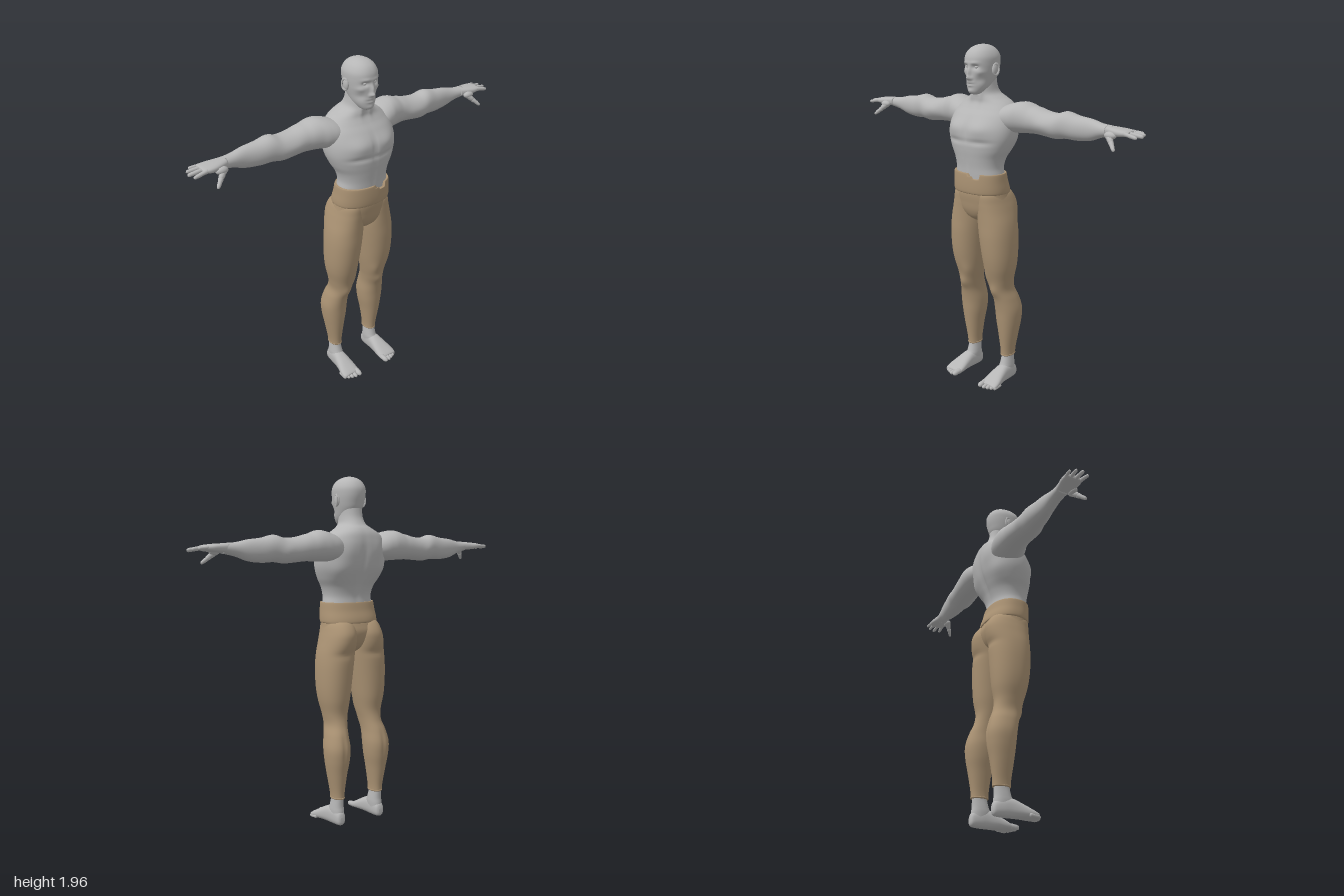
import * as THREE from 'three';
import { mergeGeometries } from 'three/addons/utils/BufferGeometryUtils.js';

const skin = new THREE.MeshStandardMaterial({ color: 0xb6b6b6 });
skin.name = 'grey skin';
const cloth = new THREE.MeshStandardMaterial({ color: 0xaa9273 });
cloth.name = 'tan cloth';

// How section values (t along the part, a and b across it) map to space
const alongY = (t, a, b) => [a, t, b];
const alongX = (t, a, b) => [t, b, a];
const alongZ = (t, a, b) => [b, a, t];

// Smooth skin through cross-sections [t, aMin, aMax, bMin, bMax]; n sets squareness
function loft(sections, map, { n = 2.2, segs = 40, subs = 6, shape = null } = {}) {
  const pos = [], index = [], last = sections.length - 1;
  const at = i => sections[Math.min(last, Math.max(0, i))];
  const rows = last * subs + 1;
  const put = (t, a, b) => {
    const p = map(t, a, b);
    if (shape) shape(p);
    pos.push(...p);
  };
  const curve = s => Math.sign(s) * Math.abs(s) ** (2 / n);
  const ends = [];
  for (let r = 0; r < rows; r++) {
    const i = Math.min(last - 1, Math.floor(r / subs)), u = r / subs - i;
    const [t, a0, a1, b0, b1] = at(i).map((p1, k) => {
      const p0 = at(i - 1)[k], p2 = at(i + 1)[k], p3 = at(i + 2)[k];
      return p1 + 0.5 * u * (p2 - p0 + u * (2 * p0 - 5 * p1 + 4 * p2 - p3 + u * (3 * (p1 - p2) + p3 - p0)));
    });
    for (let j = 0; j < segs; j++) {
      const w = j / segs * Math.PI * 2;
      put(t, (a0 + a1) / 2 + (a1 - a0) / 2 * curve(Math.cos(w)), (b0 + b1) / 2 + (b1 - b0) / 2 * curve(Math.sin(w)));
    }
    if (r === 0 || r === rows - 1) ends.push([t, (a0 + a1) / 2, (b0 + b1) / 2]);
  }
  ends.forEach(e => put(...e));
  const c0 = rows * segs, top = (rows - 1) * segs;
  for (let j = 0; j < segs; j++) {
    const k = (j + 1) % segs;
    for (let r = 0; r < rows - 1; r++) {
      const p = r * segs + j, q = r * segs + k;
      index.push(p, p + segs, q, q, p + segs, q + segs);
    }
    index.push(c0, j, k, c0 + 1, top + k, top + j);
  }
  const g = new THREE.BufferGeometry();
  g.setAttribute('position', new THREE.Float32BufferAttribute(pos, 3));
  g.setIndex(index);
  g.computeVertexNormals();
  return g;
}

// Soft pushes [x, y, z, rx, ry, rz, dx, dy, dz], repeated on the other side when x > 0
const sculpt = pushes => p => {
  const [x, y, z] = p;
  for (const [cx, cy, cz, rx, ry, rz, dx, dy, dz] of pushes) {
    for (const s of cx > 0 ? [1, -1] : [1]) {
      const w = Math.exp(-(((x - s * cx) / rx) ** 2) - ((y - cy) / ry) ** 2 - ((z - cz) / rz) ** 2);
      p[0] += s * dx * w; p[1] += dy * w; p[2] += dz * w;
    }
  }
};

// Tapered round-tipped finger or toe between two points
function digit(from, to, r0, r1) {
  const a = new THREE.Vector3(...from), d = new THREE.Vector3(...to).sub(a), len = d.length();
  const pts = [[0, 0], [r0 * 0.8, 0.001], [r0, len * 0.15], [(r0 + r1) * 0.47, len * 0.4], [(r0 + r1) * 0.5, len * 0.52],
    [r1, len - r1 * 1.2], [r1 * 0.75, len - r1 * 0.4], [0, len]].map(p => new THREE.Vector2(...p));
  const g = new THREE.LatheGeometry(pts, 12);
  g.applyQuaternion(new THREE.Quaternion().setFromUnitVectors(new THREE.Vector3(0, 1, 0), d.normalize()));
  return g.translate(...from);
}

function ball(x, y, z, rx, ry, rz) {
  return new THREE.SphereGeometry(1, 20, 14).scale(rx, ry, rz).translate(x, y, z);
}

// Mirror across x and turn the faces back outward
function mirrored(geo) {
  const g = geo.clone().scale(-1, 1, 1), i = g.index.array;
  for (let k = 0; k < i.length; k += 3) [i[k], i[k + 1]] = [i[k + 1], i[k]];
  const nrm = geo.attributes.normal, m = g.attributes.normal;
  for (let k = 0; k < nrm.count; k++) m.setXYZ(k, -nrm.getX(k), nrm.getY(k), nrm.getZ(k));
  return g;
}

export function createModel() {
  const model = new THREE.Group();
  model.name = 'standing man';
  const add = (name, geo, mat) => {
    const m = new THREE.Mesh(geo, mat);
    m.name = name;
    model.add(m);
  };
  const addPair = (name, geo, mat) => {
    add('left ' + name, geo, mat);
    add('right ' + name, mirrored(geo), mat);
  };
  const wide = ([y, w, zb, zf]) => [y, -w, w, zb, zf];

  // Torso and neck
  add('torso', loft([
    [1.18, 0.15, -0.085, 0.122], [1.25, 0.151, -0.08, 0.128], [1.3, 0.146, -0.078, 0.132], [1.35, 0.158, -0.092, 0.139],
    [1.4, 0.185, -0.115, 0.146], [1.46, 0.207, -0.14, 0.15], [1.52, 0.212, -0.152, 0.14], [1.58, 0.203, -0.155, 0.11],
    [1.62, 0.18, -0.152, 0.08], [1.65, 0.148, -0.145, 0.062], [1.675, 0.105, -0.13, 0.06], [1.7, 0.072, -0.106, 0.062],
    [1.74, 0.061, -0.085, 0.062], [1.8, 0.058, -0.075, 0.05],
  ].map(wide), alongY, {
    segs: 96, subs: 7, shape: sculpt([
      [0.09, 1.52, 0.14, 0.07, 0.045, 0.07, 0, 0, 0.014],   // chest muscles
      [0.09, 1.445, 0.14, 0.08, 0.014, 0.06, 0, 0, -0.008], // crease below chest
      [0, 1.5, 0.15, 0.012, 0.07, 0.06, 0, 0, -0.008],      // breastbone
      [0, 1.34, 0.15, 0.01, 0.07, 0.05, 0, 0, -0.004],      // belly line
      [0, 1.42, -0.14, 0.02, 0.15, 0.07, 0, 0, 0.014],      // spine groove
      [0.1, 1.56, -0.15, 0.05, 0.06, 0.05, 0, 0, -0.008],   // shoulder blades
      [0.14, 1.44, -0.1, 0.06, 0.06, 0.06, 0.006, 0, -0.008], // side back muscles
      [0.03, 1.68, 0.06, 0.012, 0.04, 0.04, 0, 0, 0.006],   // neck cords
    ]),
  }), skin);

  // Head
  add('head', loft([
    [1.696, 0.022, 0.045, 0.088], [1.706, 0.038, 0.01, 0.1], [1.735, 0.057, -0.035, 0.106], [1.78, 0.07, -0.074, 0.11],
    [1.82, 0.079, -0.089, 0.111], [1.86, 0.084, -0.098, 0.113], [1.895, 0.083, -0.097, 0.11], [1.925, 0.069, -0.081, 0.094],
    [1.945, 0.048, -0.056, 0.068], [1.956, 0.024, -0.026, 0.036], [1.959, 0.006, -0.002, 0.012],
  ].map(wide), alongY, {
    segs: 120, subs: 8, shape: sculpt([
      [0.033, 1.843, 0.105, 0.018, 0.012, 0.04, 0, 0, -0.014], // eye sockets
      [0.032, 1.864, 0.105, 0.026, 0.009, 0.04, 0, 0, 0.005],  // brows
      [0, 1.81, 0.11, 0.01, 0.03, 0.04, 0, 0, 0.017],          // nose bridge
      [0, 1.785, 0.12, 0.013, 0.011, 0.04, 0, 0, 0.017],       // nose tip
      [0.014, 1.781, 0.115, 0.008, 0.008, 0.03, 0, 0, 0.006],  // nostrils
      [0.052, 1.815, 0.08, 0.018, 0.014, 0.04, 0.004, 0, 0.004], // cheekbones
      [0.05, 1.775, 0.08, 0.02, 0.02, 0.04, -0.004, 0, -0.004],  // cheeks
      [0, 1.76, 0.11, 0.022, 0.006, 0.04, 0, 0, 0.007],        // upper lip
      [0, 1.753, 0.11, 0.026, 0.0035, 0.04, 0, 0, -0.006],     // mouth line
      [0, 1.745, 0.11, 0.018, 0.006, 0.04, 0, 0, 0.006],       // lower lip
      [0, 1.714, 0.1, 0.02, 0.012, 0.04, 0, 0, 0.005],         // chin
    ]),
  }), skin);
  addPair('eye', ball(0.032, 1.843, 0.087, 0.013, 0.009, 0.012), skin);
  addPair('ear', mergeGeometries([
    ball(0.084, 1.828, 0.0, 0.012, 0.033, 0.021),
    new THREE.TorusGeometry(0.018, 0.005, 8, 24).scale(1, 1.6, 1).rotateY(Math.PI / 2 - 0.35).translate(0.09, 1.828, -0.002),
  ]), skin);

  // Arms: [x, zBack, zFront, yLow, yHigh]
  addPair('arm', loft([
    [0.07, -0.1, 0.03, 1.52, 1.61], [0.15, -0.145, 0.055, 1.5, 1.642], [0.21, -0.156, 0.048, 1.495, 1.66],
    [0.26, -0.155, 0.03, 1.497, 1.664], [0.33, -0.151, 0.013, 1.5, 1.645], [0.4, -0.147, 0.01, 1.495, 1.628],
    [0.47, -0.14, 0.01, 1.49, 1.625], [0.53, -0.13, 0.002, 1.498, 1.64], [0.6, -0.124, -0.01, 1.496, 1.625],
    [0.68, -0.112, -0.024, 1.505, 1.616], [0.75, -0.099, -0.024, 1.53, 1.602], [0.82, -0.09, -0.016, 1.546, 1.598],
  ], alongX, {
    n: 2.1, shape: sculpt([
      [0.41, 1.56, 0.01, 0.06, 0.03, 0.04, 0, 0, 0.006],    // upper arm front
      [0.31, 1.6, -0.07, 0.02, 0.08, 0.12, 0, -0.004, 0],   // shoulder crease
      [0.47, 1.56, -0.14, 0.03, 0.03, 0.03, 0, 0, -0.004],  // elbow
    ]),
  }), skin);

  // Hands
  addPair('palm', loft([
    [0.79, -0.09, -0.018, 1.547, 1.598], [0.84, -0.096, -0.002, 1.55, 1.596], [0.88, -0.103, 0.004, 1.553, 1.593],
    [0.915, -0.101, 0.0, 1.558, 1.589], [0.93, -0.09, -0.012, 1.563, 1.584],
  ], alongX, { n: 2.6, segs: 28 }), skin);
  addPair('fingers', mergeGeometries([
    [-0.09, -0.1, 0.966, 0.0105], [-0.065, -0.076, 0.99, 0.012], [-0.038, -0.042, 1.0, 0.0125], [-0.011, -0.006, 0.986, 0.012],
  ].map(([z0, z1, tip, r], k) => digit([0.9, 1.576, z0], [tip, 1.572 - k * 0.004, z1], r, r * 0.75))), skin);
  addPair('thumb', mergeGeometries([
    ball(0.835, 1.558, -0.006, 0.034, 0.02, 0.022),
    digit([0.82, 1.56, -0.008], [0.862, 1.522, 0.02], 0.018, 0.014),
    digit([0.85, 1.532, 0.012], [0.89, 1.493, 0.042], 0.014, 0.009),
  ]), skin);

  // Trouser legs: [y, xInner, xOuter, zBack, zFront]
  addPair('trouser leg', loft([
    [0.155, 0.099, 0.168, -0.119, -0.021], [0.2, 0.097, 0.172, -0.121, -0.018], [0.3, 0.084, 0.19, -0.136, -0.004],
    [0.38, 0.07, 0.203, -0.15, 0.006], [0.45, 0.065, 0.207, -0.153, 0.014], [0.52, 0.068, 0.194, -0.135, 0.028],
    [0.58, 0.062, 0.178, -0.111, 0.048], [0.64, 0.05, 0.185, -0.102, 0.062], [0.72, 0.035, 0.203, -0.114, 0.085],
    [0.8, 0.024, 0.211, -0.121, 0.1], [0.9, 0.011, 0.211, -0.126, 0.11], [0.98, 0.002, 0.203, -0.129, 0.112],
    [1.05, 0.0, 0.187, -0.143, 0.114], [1.1, 0.0, 0.174, -0.141, 0.116], [1.15, 0.008, 0.158, -0.112, 0.115],
    [1.18, 0.03, 0.13, -0.07, 0.09],
  ], alongY, {
    segs: 56, shape: sculpt([
      [0.12, 0.57, 0.05, 0.03, 0.035, 0.04, 0, 0, 0.008],    // kneecap
      [0.08, 0.66, 0.05, 0.03, 0.045, 0.04, -0.003, 0, 0.006], // inner thigh muscle
      [0.135, 0.45, -0.15, 0.012, 0.08, 0.04, 0, 0, 0.005],  // calf split
      [0.1, 0.98, -0.13, 0.08, 0.02, 0.05, 0, 0, 0.007],     // fold under seat
    ]),
  }), cloth);
  addPair('trouser hem', new THREE.TorusGeometry(1, 0.07, 8, 36).rotateX(Math.PI / 2)
    .scale(0.035, 0.06, 0.049).translate(0.1335, 0.16, -0.07), cloth);

  // Hips, joining the legs
  add('hips', loft([
    [0.985, 0.03, -0.05, 0.06], [1.01, 0.09, -0.085, 0.092], [1.05, 0.155, -0.11, 0.112],
    [1.1, 0.169, -0.122, 0.122], [1.14, 0.164, -0.114, 0.128], [1.18, 0.158, -0.1, 0.128],
  ].map(wide), alongY, { segs: 64, n: 2.3 }), cloth);

  // Waistband, with a notch cut in its front edge
  add('waistband', loft([
    [1.15, 0.158, -0.108, 0.126], [1.155, 0.167, -0.116, 0.136], [1.18, 0.168, -0.112, 0.14],
    [1.22, 0.164, -0.098, 0.141], [1.262, 0.16, -0.088, 0.139], [1.266, 0.155, -0.084, 0.134],
  ].map(wide), alongY, {
    segs: 120, n: 2.3, shape: p => {
      if (p[2] > 0.03 && p[0] > 0.012 && p[0] < 0.082) p[1] = Math.min(p[1], p[0] < 0.035 ? 1.25 : 1.237);
    },
  }), cloth);

  // Ankles and feet
  addPair('ankle', loft([
    [0.03, 0.105, 0.168, -0.118, -0.01], [0.08, 0.1, 0.17, -0.116, -0.005], [0.11, 0.101, 0.168, -0.112, -0.016],
    [0.15, 0.105, 0.164, -0.112, -0.026], [0.19, 0.106, 0.163, -0.112, -0.028],
  ], alongY, { segs: 32 }), skin);
  addPair('foot', loft([
    [-0.125, 0.02, 0.05, 0.125, 0.15], [-0.113, 0.004, 0.08, 0.11, 0.163], [-0.07, 0, 0.1, 0.102, 0.172],
    [-0.02, 0, 0.102, 0.099, 0.178], [0.03, 0.001, 0.082, 0.093, 0.188], [0.08, 0, 0.055, 0.088, 0.2],
    [0.112, 0.001, 0.037, 0.09, 0.2], [0.122, 0.006, 0.028, 0.1, 0.19],
  ], alongZ, { n: 2.4, segs: 36 }), skin);
  addPair('toes', mergeGeometries([
    [0.104, 0.156, 0.017], [0.131, 0.152, 0.0125], [0.153, 0.144, 0.012], [0.173, 0.134, 0.0115], [0.191, 0.121, 0.011],
  ].map(([x, tip, r]) => digit([x, r + 0.006, tip - 0.06], [x + 0.002, r, tip], r, r * 0.9))), skin);

  return model;
}
